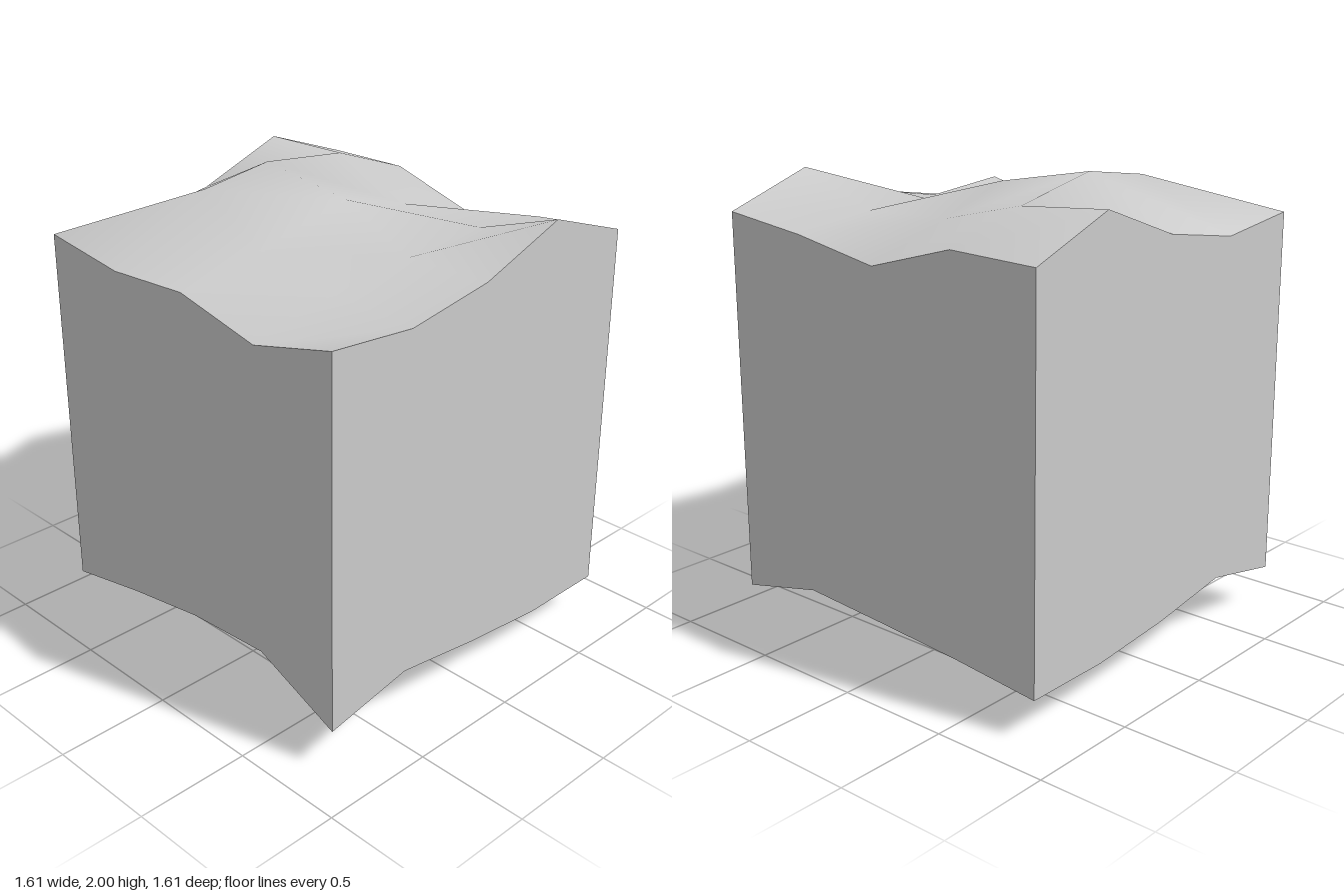
import * as THREE from 'three';

// Heights on a 5 x 5 grid: rows run from back (-z) to front (+z), columns from -x to +x
const TOP = [
  [1.80, 1.81, 1.695, 1.765, 1.81],
  [1.947, 1.93, 1.82, 1.81, 1.947],
  [1.80, 2.00, 1.925, 1.79, 1.80],
  [1.735, 1.953, 1.82, 1.75, 1.735],
  [1.78, 1.73, 1.755, 1.668, 1.77],
];
const BOTTOM = [
  [0.165, 0.205, 0.233, 0.258, 0.167],
  [0.165, 0.175, 0.00, 0.10, 0.165],
  [0.20, 0.17, 0.03, 0.04, 0.205],
  [0.26, 0.19, 0.17, 0.14, 0.26],
  [0.18, 0.26, 0.325, 0.35, 0.18],
];
// Small sideways shifts of inner top points: [row, column, dx, dz]
const SHIFTS = [[1, 1, -0.05, -0.07], [3, 1, -0.01, -0.07], [2, 2, 0.02, -0.04], [1, 3, 0, -0.02]];

const WIDTH = 1.61;
const SEGMENTS = 4;

export function createModel() {
  const group = new THREE.Group();
  group.name = 'rockBlock';

  // Segmented box whose top and bottom follow the height grids; the walls stay flat
  const geometry = new THREE.BoxGeometry(WIDTH, 2, WIDTH, SEGMENTS, 1, SEGMENTS);
  const pos = geometry.attributes.position;
  const index = (v) => Math.round((v / WIDTH + 0.5) * SEGMENTS);
  for (let i = 0; i < pos.count; i++) {
    const col = index(pos.getX(i));
    const row = index(pos.getZ(i));
    const isTop = pos.getY(i) > 0;
    pos.setY(i, (isTop ? TOP : BOTTOM)[row][col]);
    const shift = isTop && SHIFTS.find(([r, c]) => r === row && c === col);
    if (shift) {
      pos.setX(i, pos.getX(i) + shift[2]);
      pos.setZ(i, pos.getZ(i) + shift[3]);
    }
  }
  // Each side has its own vertices, so the box edges stay sharp
  geometry.computeVertexNormals();

  const block = new THREE.Mesh(geometry, new THREE.MeshStandardMaterial({ color: 0xcccccc }));
  block.name = 'unevenBlock';
  group.add(block);
  return group;
}
